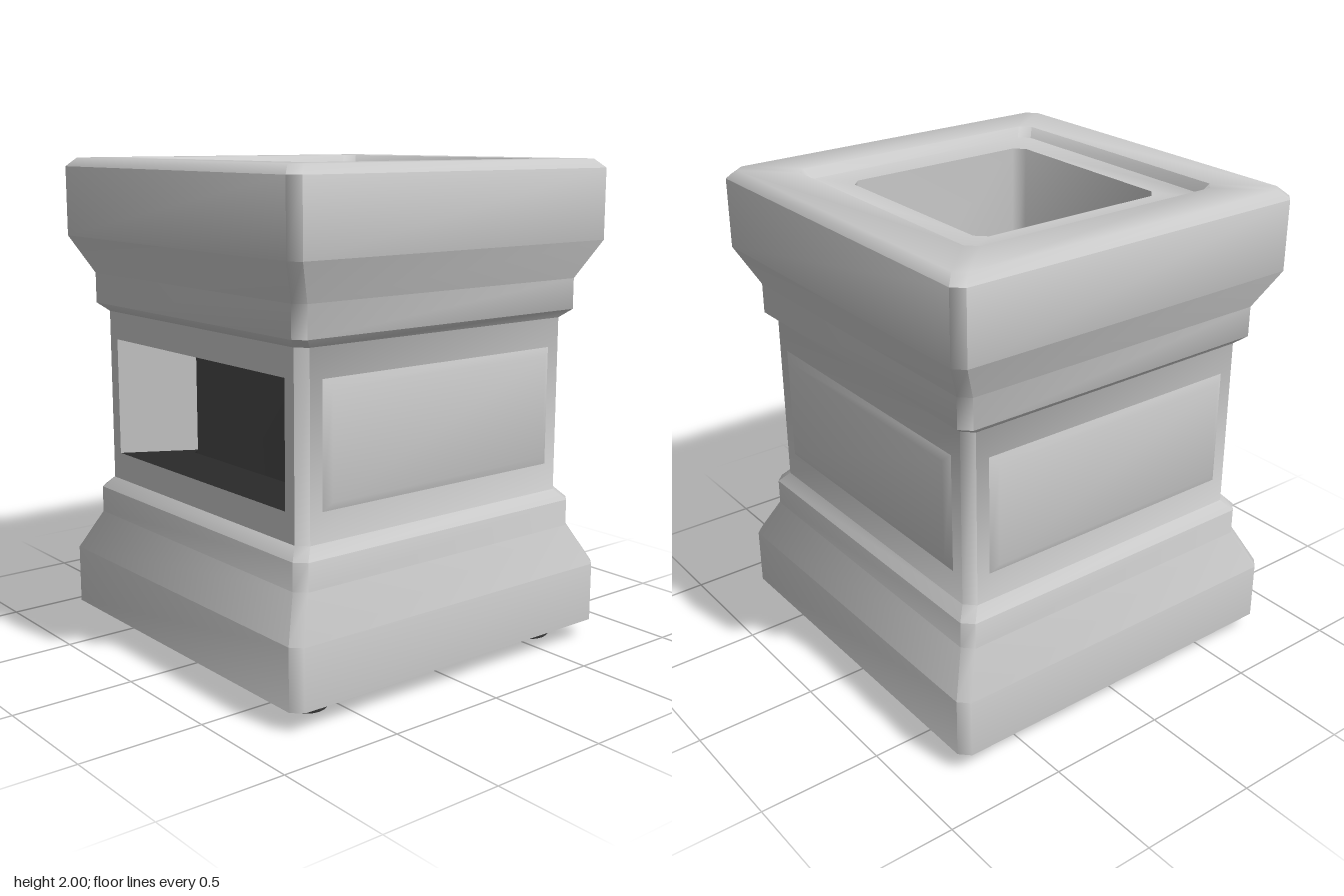
import * as THREE from 'three';
import { toCreasedNormals } from 'three/addons/utils/BufferGeometryUtils.js';

const grey = new THREE.MeshStandardMaterial({ color: 0xcccccc });
const dark = new THREE.MeshStandardMaterial({ color: 0x2a2a2a, side: THREE.DoubleSide });
const rubber = new THREE.MeshStandardMaterial({ color: 0x555555 });

// Square ring with chamfered corners; side 0 is the front, 1 and 7 its chamfers
function ring(r, y) {
  const q = r - Math.min(0.04, r);
  return [[-q, r], [q, r], [r, q], [r, -q], [q, -r], [-q, -r], [-r, -q], [-r, q]]
    .map(([x, z]) => [x, y, z]);
}

// Joins rings of a [half width, y] profile; skip(level, side) leaves a gap
function loft(profile, skip = () => false) {
  const rings = profile.map(([r, y]) => ring(r, y));
  const pos = [];
  for (let i = 0; i < rings.length - 1; i++) {
    for (let k = 0; k < 8; k++) {
      if (skip(i, k)) continue;
      const n = (k + 1) % 8;
      const a = rings[i][k], b = rings[i][n], c = rings[i + 1][n], d = rings[i + 1][k];
      pos.push(...a, ...b, ...c, ...a, ...c, ...d);
    }
  }
  const g = new THREE.BufferGeometry();
  g.setAttribute('position', new THREE.Float32BufferAttribute(pos, 3));
  return toCreasedNormals(g, 0.9);
}

// Flat-shaded quad from four corners
function quad(a, b, c, d) {
  const g = new THREE.BufferGeometry();
  g.setAttribute('position', new THREE.Float32BufferAttribute([...a, ...b, ...c, ...a, ...c, ...d], 3));
  g.computeVertexNormals();
  return g;
}

export function createModel() {
  const group = new THREE.Group();
  const add = (name, geometry, material, parent = group) => {
    const mesh = new THREE.Mesh(geometry, material);
    mesh.name = name;
    parent.add(mesh);
    return mesh;
  };
  const low = 0.76, high = 1.25;

  // Outer shell: underside, plinth, waist, cornice, rim and top of the well
  const profile = [
    [0, 0.08], [0.8, 0.08], [0.8, 0.325], [0.72, 0.49], [0.72, 0.6], [0.68, 0.645],
    [0.68, 1.365], [0.72, 1.4], [0.72, 1.525], [0.8, 1.68], [0.8, 1.965], [0.765, 2],
    [0.585, 2], [0.56, 1.96], [0.43, 1.96], [0.43, high],
  ];
  add('shell', loft(profile, (i, k) => i === 5 && k === 0), grey);

  // Dark lining of the lower well, open towards the front
  const lining = [[0.43, high], [0.43, low], [0.43, 0.1], [0, 0.1]];
  add('wellLining', loft(lining, (i, k) => i === 0 && (k < 2 || k === 7)), dark);

  // Front wall with its window
  const wall = new THREE.Shape([[-0.64, 0.645], [0.64, 0.645], [0.64, 1.365], [-0.64, 1.365]]
    .map(([x, y]) => new THREE.Vector2(x, y)));
  wall.holes.push(new THREE.Path([[-0.585, low], [-0.585, high], [0.585, high], [0.585, low]]
    .map(([x, y]) => new THREE.Vector2(x, y))));
  add('frontWall', new THREE.ShapeGeometry(wall), grey).position.z = 0.68;

  // Splayed window sides running back to the well
  add('windowSideRight', quad([-0.585, low, 0.68], [-0.43, low, 0.39], [-0.43, high, 0.39], [-0.585, high, 0.68]), grey);
  add('windowSideLeft', quad([0.43, low, 0.39], [0.585, low, 0.68], [0.585, high, 0.68], [0.43, high, 0.39]), grey);

  // Window sill and ceiling follow the chamfered well edge
  const ledge = new THREE.ShapeGeometry(new THREE.Shape(
    [[-0.585, -0.68], [0.585, -0.68], [0.43, -0.39], [0.39, -0.43], [-0.39, -0.43], [-0.43, -0.39]]
      .map(([x, y]) => new THREE.Vector2(x, y))));
  ledge.rotateX(-Math.PI / 2);
  add('windowSill', ledge, dark).position.y = low;
  const ceiling = ledge.clone().rotateZ(Math.PI);
  add('windowCeiling', ceiling, grey).position.y = high;

  // Raised panels with bevelled edges on the other three sides
  const panel = new THREE.BoxGeometry(1.17, high - low, 0.018);
  const p = panel.attributes.position;
  for (let i = 0; i < p.count; i++) {
    if (p.getZ(i) < 0) continue;
    p.setX(i, p.getX(i) - 0.035 * Math.sign(p.getX(i)));
    p.setY(i, p.getY(i) - 0.035 * Math.sign(p.getY(i)));
  }
  panel.computeVertexNormals();
  panel.translate(0, (low + high) / 2, 0.688);
  ['leftPanel', 'backPanel', 'rightPanel'].forEach((name, i) => {
    add(name, toCreasedNormals(panel, 1.2), grey).rotation.y = (i + 1) * Math.PI / 2;
  });

  // Four round feet
  const foot = toCreasedNormals(new THREE.LatheGeometry(
    [[0, 0], [0.08, 0], [0.095, 0.02], [0.095, 0.085]].map(([x, y]) => new THREE.Vector2(x, y)), 16), 0.7);
  for (const x of [-0.6, 0.6]) {
    for (const z of [-0.6, 0.6]) add('foot', foot, rubber).position.set(x, 0, z);
  }
  return group;
}
